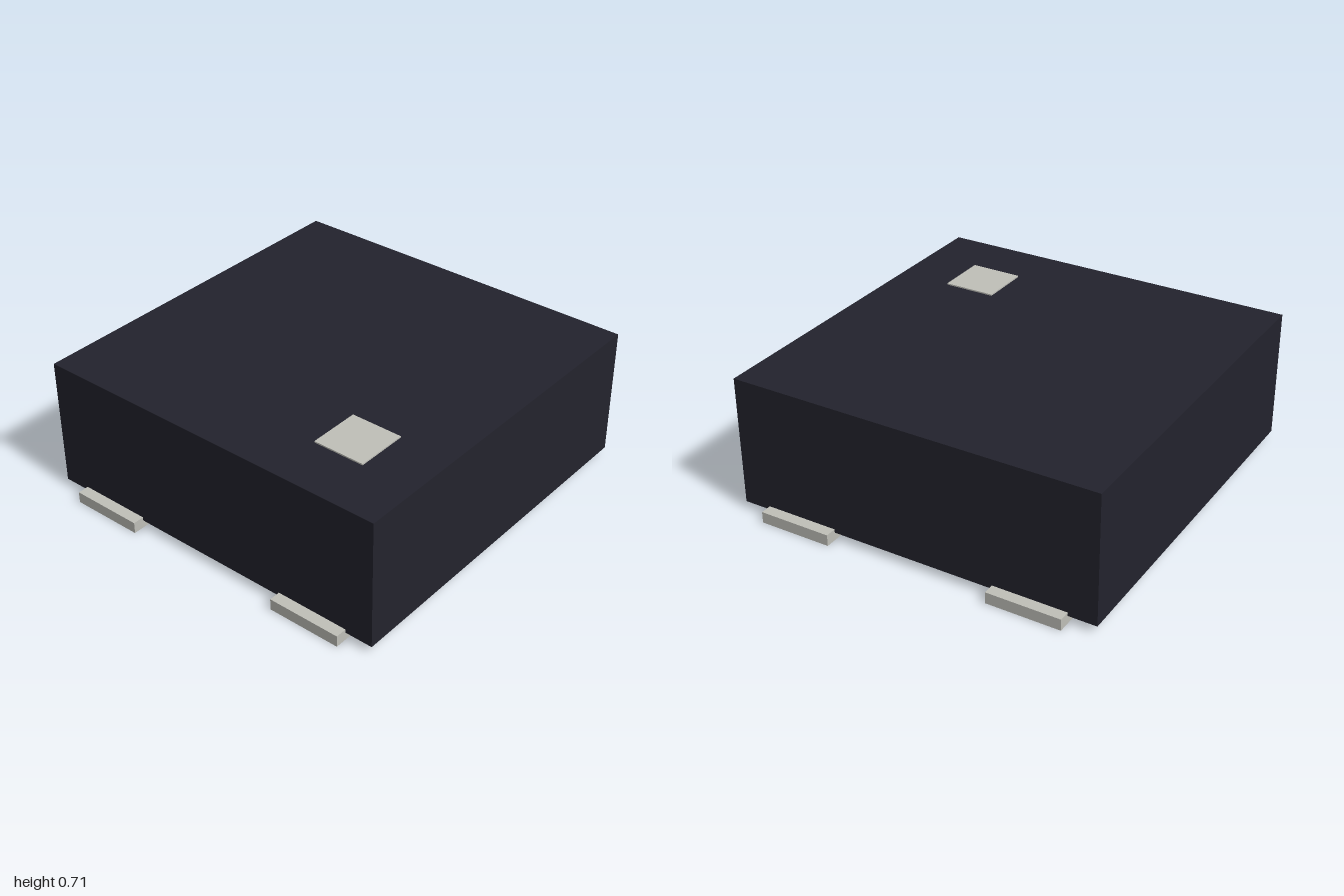
import * as THREE from 'three';

export function createModel() {
  const model = new THREE.Group();
  const casing = new THREE.MeshStandardMaterial({ color: 0x23232d });
  casing.name = 'dark casing';
  const metal = new THREE.MeshStandardMaterial({ color: 0xc0c0b9 });
  metal.name = 'pale metal';

  // Adds a box whose underside sits at height y
  function box(name, material, [w, h, d], [x, y, z]) {
    const mesh = new THREE.Mesh(new THREE.BoxGeometry(w, h, d), material);
    mesh.name = name;
    mesh.position.set(x, y + h / 2, z);
    model.add(mesh);
    return mesh;
  }

  // Main block
  box('body', casing, [1.885, 0.66, 1.885], [0, 0.04, 0]);

  // Corner marker plate on the top face
  box('cornerMarker', metal, [0.264, 0.008, 0.264], [-0.53, 0.699, 0.53]);

  // Four contact pads sticking out at the sides
  for (const [sx, side] of [[1, 'left'], [-1, 'right']]) {
    for (const [sz, end] of [[1, 'Front'], [-1, 'Back']]) {
      box(`${side}${end}Pad`, metal, [0.377, 0.058, 0.377], [sx * 0.8115, 0, sz * 0.6115]);
    }
  }

  // Central pad underneath, turned to a diamond
  const centrePad = box('centrePad', metal, [0.64, 0.058, 0.64], [0, 0, 0]);
  centrePad.rotation.y = Math.PI / 4;

  return model;
}
